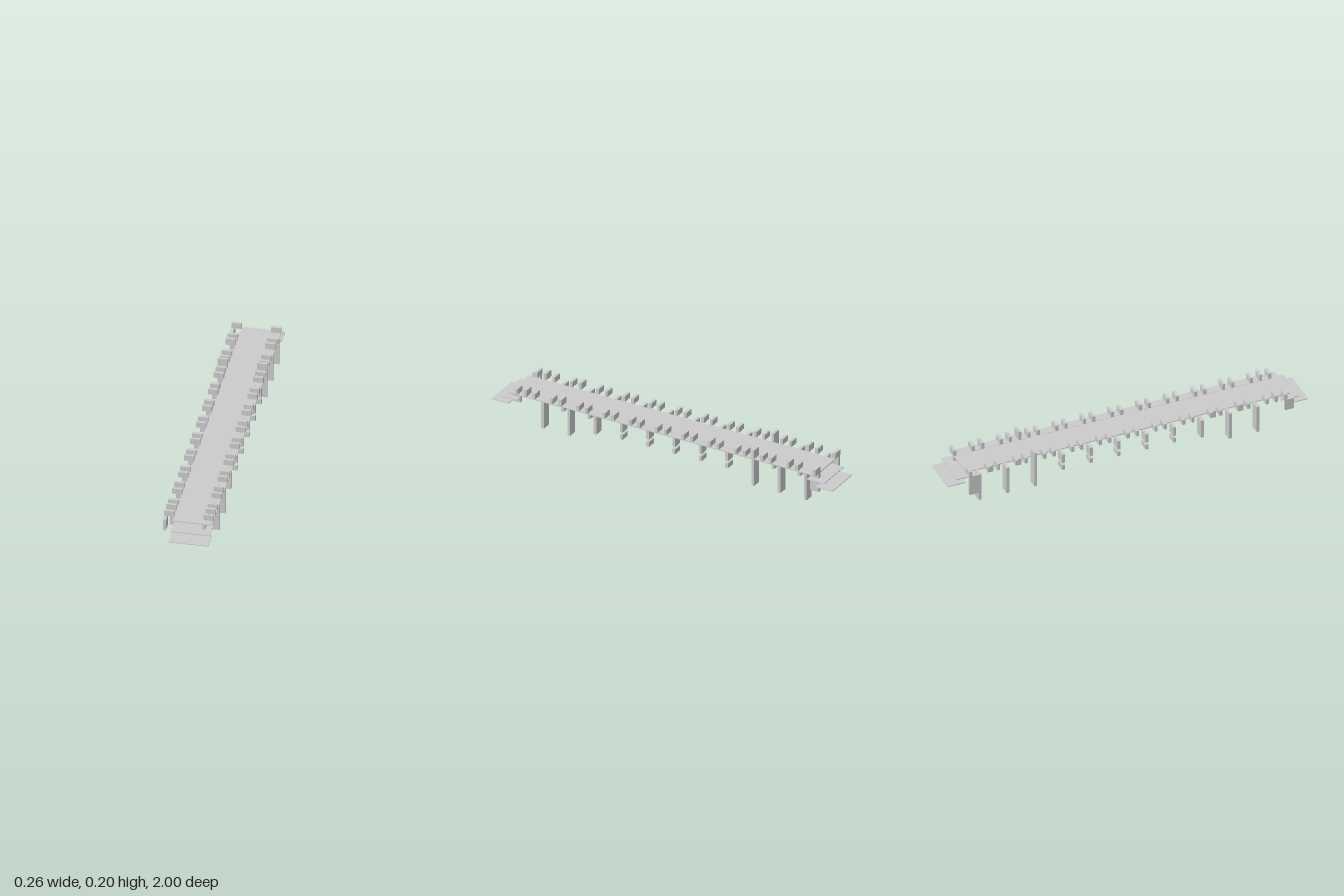
import * as THREE from 'three';

const material = new THREE.MeshStandardMaterial({ color: 0xcccccc, flatShading: true });

export function createModel() {
  const model = new THREE.Group();

  // Box given by its limits on each axis
  const box = (name, parent, [x0, x1], [y0, y1], [z0, z1]) => {
    const mesh = new THREE.Mesh(new THREE.BoxGeometry(x1 - x0, y1 - y0, z1 - z0), material);
    mesh.position.set((x0 + x1) / 2, (y0 + y1) / 2, (z0 + z1) / 2);
    mesh.name = name;
    parent.add(mesh);
  };

  // Walkway deck, and two steps down at each end
  const deckX = [-0.079, 0.127];
  box('deck', model, deckX, [0.151, 0.156], [-0.9, 0.9]);
  for (const s of [1, -1]) {
    const span = (a, b) => (s > 0 ? [a, b] : [-b, -a]);
    box('upperStep', model, deckX, [0.12, 0.124], span(0.85, 0.95));
    box('lowerStep', model, deckX, [0.089, 0.093], span(0.9, 1));
  }

  // Both rows share one layout: every third place is a post, the rest are blocks
  const tall = [3, 6, 27, 30, 33];
  const raised = [1, 5, 31];
  const half = 0.008;
  for (const [name, x] of [['rightRow', -0.129], ['leftRow', 0.0765]]) {
    const row = new THREE.Group();
    row.name = name;
    model.add(row);
    const wide = [x, x + 0.0515];
    for (let k = 0; k <= 34; k++) {
      const z = 0.855 - k * 0.0514;
      const depth = [z - half, z + half];
      if (k % 3 || k === 0) {
        box('railBlock', row, wide, [0.156, raised.includes(k) ? 0.192 : 0.187], depth);
      } else if (tall.includes(k)) {
        box('tallPost', row, wide, [0, k === 27 ? 0.205 : 0.155], depth);
      } else if (k === 9) {
        box('shortPost', row, wide, [0.048, 0.153], depth);
      } else {
        box('hangingBlock', row, wide, [0.102, 0.153], depth);
        box('lowerBlock', row, wide, [0.06, 0.088], depth);
      }
    }
    // Thin corner panels beside the steps
    const thin = [x, x + 0.016];
    box('frontPanel', row, thin, [0.092, 0.155], [0.85, 0.9]);
    box('backPanel', row, thin, [0.045, 0.157], [-0.9, -0.84]);
  }

  // Long beam under the left edge of the deck
  box('beam', model, [0.0765, 0.0925], [0.135, 0.157], [-0.85, 0.86]);

  return model;
}
